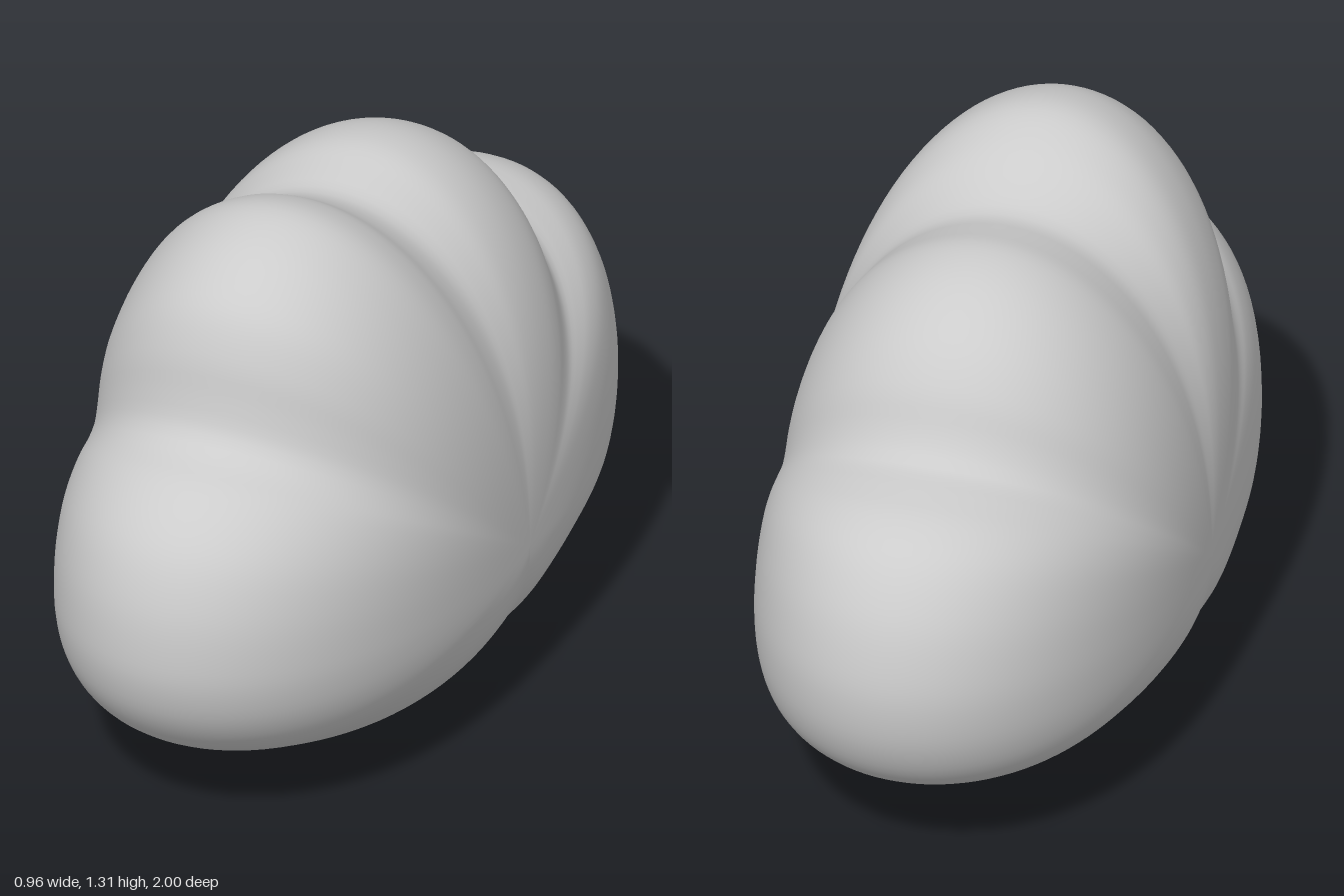
import * as THREE from 'three';

// Side outline as [z, y], from the front tip over the lobes to the back and under the belly
const OUTLINE = [
  [1, 0.5], [0.985, 0.61], [0.94, 0.72], [0.88, 0.79], [0.8, 0.845], [0.72, 0.875],
  [0.675, 0.91], [0.652, 0.98], [0.63, 1.08], [0.585, 1.175], [0.52, 1.235],
  [0.43, 1.285], [0.31, 1.31], [0.2, 1.28], [0.1, 1.22], [0.02, 1.192],
  [-0.06, 1.207], [-0.17, 1.23], [-0.3, 1.21], [-0.43, 1.14], [-0.51, 1.05],
  [-0.56, 0.95], [-0.6, 0.905], [-0.68, 0.89], [-0.78, 0.87], [-0.87, 0.82],
  [-0.95, 0.71], [-0.99, 0.59], [-1, 0.49], [-0.98, 0.37], [-0.925, 0.27],
  [-0.83, 0.2], [-0.62, 0.12], [-0.42, 0.06], [-0.2, 0.01], [0, 0],
  [0.3, 0.005], [0.5, 0.045], [0.7, 0.12], [0.88, 0.215], [0.96, 0.31], [0.995, 0.41],
];
const HALF_WIDTH = 0.482;
const CENTRE_Y = 0.38;
const AROUND = 200;
const ACROSS = 72;

// Shrinks the outline towards the middle of each flank while the surface swells sideways
function puffGeometry() {
  const curve = new THREE.CatmullRomCurve3(
    OUTLINE.map(([z, y]) => new THREE.Vector3(0, y, z)), true, 'centripetal');
  const rim = curve.getSpacedPoints(AROUND).slice(0, AROUND);
  const positions = [];
  const index = [];

  for (let j = 0; j <= ACROSS; j++) {
    const a = (Math.PI * j) / ACROSS;
    const s = Math.sin(a);
    for (const p of rim) {
      const dy = p.y - CENTRE_Y;
      // Fuller towards the two ends than towards top and bottom
      const power = 2.25 + 0.5 * Math.abs(p.z) / Math.hypot(p.z, dy);
      const x = Math.sign(Math.cos(a)) * HALF_WIDTH * Math.sqrt(Math.max(0, 1 - s ** power));
      positions.push(j * 2 === ACROSS ? 0 : x, CENTRE_Y + dy * s, p.z * s);
    }
  }

  for (let j = 0; j < ACROSS; j++) {
    for (let i = 0; i < AROUND; i++) {
      const k = (i + 1) % AROUND;
      const a = j * AROUND + i, b = j * AROUND + k;
      const c = a + AROUND, d = b + AROUND;
      if (j > 0) index.push(a, b, d);
      if (j < ACROSS - 1) index.push(a, d, c);
      else index.push(a, b, c);
      if (j === 0) index.push(a, d, c);
    }
  }
  // The last ring closes to a point, so its doubled faces are trimmed to one fan
  const geometry = new THREE.BufferGeometry();
  geometry.setAttribute('position', new THREE.Float32BufferAttribute(positions, 3));
  geometry.setIndex(index);
  geometry.computeVertexNormals();
  return geometry;
}

export function createModel() {
  const group = new THREE.Group();
  group.name = 'cloud';
  const material = new THREE.MeshStandardMaterial({ color: 0xcccccc });
  const puff = new THREE.Mesh(puffGeometry(), material);
  puff.name = 'cloudBody';
  group.add(puff);
  return group;
}
